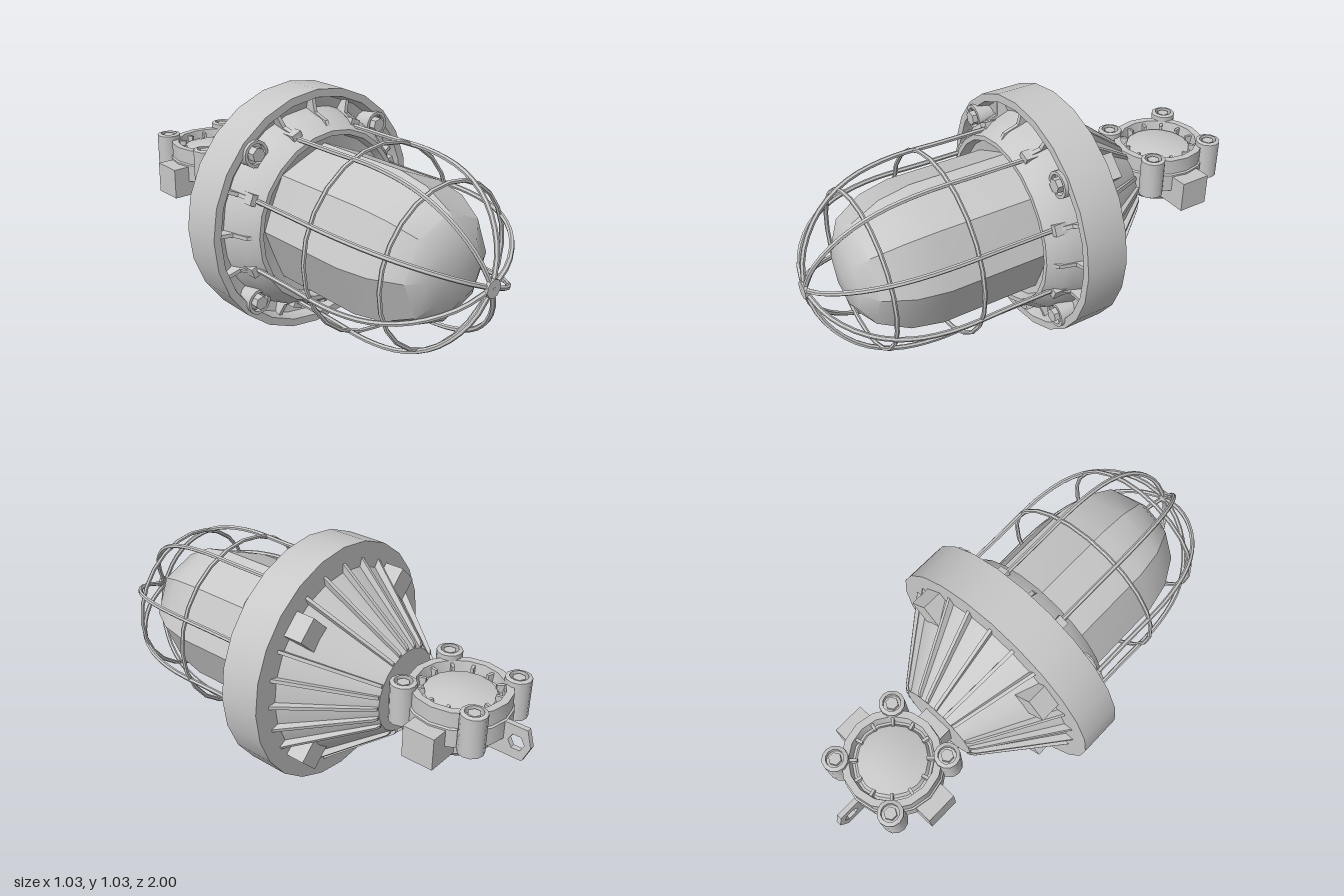
import * as THREE from 'three';
import { toCreasedNormals } from 'three/addons/utils/BufferGeometryUtils.js';

const CREASE = 0.55;

export function createModel() {
  const model = new THREE.Group();
  model.name = 'cagedLamp';
  const grey = new THREE.MeshStandardMaterial({ color: 0xc8c8c8 });
  grey.name = 'light grey';

  const add = (parent, name, geometry, x = 0, y = 0, z = 0) => {
    const mesh = new THREE.Mesh(toCreasedNormals(geometry, CREASE), grey);
    mesh.name = name;
    mesh.position.set(x, y, z);
    parent.add(mesh);
    return mesh;
  };
  const lathe = (points, sides) =>
    new THREE.LatheGeometry(points.map(([r, h]) => new THREE.Vector2(r, h)), sides);
  const latheZ = (points, sides) => lathe(points, sides).rotateX(Math.PI / 2);
  const tubeZ = (r, length, sides) =>
    new THREE.CylinderGeometry(r, r, length, sides).rotateX(Math.PI / 2);

  // Thin plate drawn in the (radius, z) plane
  const plate = (points, thickness, holes = []) => {
    const shape = new THREE.Shape(points.map(([r, z]) => new THREE.Vector2(r, z)));
    shape.holes.push(...holes);
    return new THREE.ExtrudeGeometry(shape, { depth: thickness, bevelEnabled: false })
      .translate(0, 0, -thickness / 2).rotateX(Math.PI / 2);
  };

  // Everything round the lamp axis
  const lamp = new THREE.Group();
  lamp.name = 'lampHead';
  lamp.position.y = 0.515;
  model.add(lamp);

  add(lamp, 'housing', latheZ([
    [0, -0.44], [0.175, -0.44], [0.41, -0.12], [0.515, -0.12], [0.515, 0.06], [0.482, 0.06],
    [0.47, 0.01], [0.43, 0.0], [0.415, 0.05], [0.405, 0.09], [0.365, 0.15], [0.345, 0.15],
    [0.335, 0.11], [0.28, 0.1],
  ], 24));

  add(lamp, 'glassDome', latheZ([
    [0.305, 0.08], [0.305, 0.53], [0.28, 0.66], [0.215, 0.78], [0.14, 0.825], [0, 0.84],
  ], 8));

  // Cooling fins on the rear cone, leaving room for the four bosses
  const fin = plate([[0.15, -0.43], [0.185, -0.44], [0.2, -0.43], [0.45, -0.115], [0.39, -0.115]], 0.014);
  for (let i = 0; i < 24; i++) {
    if (i % 6 === 3) continue;
    add(lamp, 'coolingFin', fin).rotation.z = (i * Math.PI) / 12;
  }

  // Short ribs in the front trough
  const rib = plate([[0.36, 0.0], [0.485, 0.0], [0.478, 0.035], [0.42, 0.05], [0.4, 0.115], [0.36, 0.14]], 0.016);
  for (let i = 0; i < 16; i++) {
    if (i % 4 === 2) continue;
    add(lamp, 'frontRib', rib).rotation.z = (i * Math.PI) / 8;
  }

  // Flange bolts in front and square bosses behind
  for (let i = 0; i < 4; i++) {
    const corner = new THREE.Group();
    corner.name = 'flangeBolt';
    corner.rotation.z = Math.PI / 4 + (i * Math.PI) / 2;
    lamp.add(corner);
    add(corner, 'boltSeat', latheZ([
      [0.055, -0.02], [0.055, 0.075], [0.042, 0.075], [0.042, 0.055], [0, 0.055],
    ], 14), 0.445);
    add(corner, 'boltHead', tubeZ(0.03, 0.06, 6), 0.445, 0, 0.06);
    add(corner, 'rearBoss', new THREE.BoxGeometry(0.105, 0.105, 0.1), 0.39, 0, -0.155);
  }

  // Wire cage: eight bent wires with clips
  const path = new THREE.CatmullRomCurve3([
    [0.38, 0.06], [0.38, 0.3], [0.38, 0.55], [0.35, 0.71], [0.295, 0.82],
    [0.22, 0.9], [0.12, 0.96], [0, 0.988],
  ].map(([r, z]) => new THREE.Vector3(r, 0, z)), false, 'centripetal');
  const wire = new THREE.TubeGeometry(path, 22, 0.01, 6);
  for (let i = 0; i < 8; i++) {
    const arm = new THREE.Group();
    arm.name = 'cageArm';
    arm.rotation.z = Math.PI / 8 + (i * Math.PI) / 4;
    lamp.add(arm);
    add(arm, 'cageWire', wire);
    add(arm, 'wireClip', new THREE.BoxGeometry(0.045, 0.045, 0.07), 0.385, 0, 0.085);
  }
  for (const [r, z] of [[0.383, 0.435], [0.322, 0.765]]) {
    add(lamp, 'cageRing', new THREE.TorusGeometry(r, 0.009, 6, 24), 0, 0, z);
  }
  add(lamp, 'cageHub', tubeZ(0.036, 0.016, 10), 0, 0, 0.988);

  // Junction box behind the lamp, standing on the y axis
  const box = new THREE.Group();
  box.name = 'junctionBox';
  box.position.z = -0.685;
  model.add(box);

  add(box, 'boxBody', lathe([
    [0, 0.41], [0.13, 0.41], [0.145, 0.43], [0.145, 0.5], [0.205, 0.5], [0.205, 0.575],
    [0.198, 0.58], [0.198, 0.645], [0.168, 0.645], [0.16, 0.6], [0.15, 0.6],
    [0.14, 0.615], [0.08, 0.632], [0, 0.638],
  ], 16));

  // Lid ribs between the wall and the shallow dome
  for (let i = 0; i < 12; i++) {
    const a = (i + 0.5) * Math.PI / 6;
    add(box, 'lidRib', new THREE.BoxGeometry(0.04, 0.035, 0.012),
      0.155 * Math.cos(a), 0.617, 0.155 * Math.sin(a)).rotation.y = -a;
  }

  // Corner screws with recessed hexagon heads
  for (const sx of [-1, 1]) {
    for (const sz of [-1, 1]) {
      add(box, 'screwPost', lathe([
        [0, 0.5], [0.052, 0.5], [0.052, 0.665], [0.036, 0.67], [0.036, 0.645], [0, 0.645],
      ], 12), sx * 0.153, 0, sz * 0.153);
      add(box, 'screwHead', new THREE.CylinderGeometry(0.026, 0.026, 0.03, 6), sx * 0.153, 0.65, sz * 0.153);
    }
    // Cable entries on both sides
    add(box, 'cableEntry', new THREE.BoxGeometry(0.165, 0.135, 0.135), sx * 0.1825, 0.5, 0);
  }
  add(box, 'lampNeck', new THREE.BoxGeometry(0.13, 0.135, 0.19), 0, 0.5, 0.17);

  // Hanging lug with a hexagonal hole
  const hole = new THREE.Path();
  for (let i = 0; i < 6; i++) {
    const a = (i * Math.PI) / 3;
    hole[i ? 'lineTo' : 'moveTo'](0.255 + 0.034 * Math.cos(a), 0.034 * Math.sin(a));
  }
  hole.closePath();
  const lug = plate([[0.12, -0.07], [0.285, -0.07], [0.315, 0], [0.295, 0.07], [0.12, 0.07]], 0.022, [hole]);
  // Turn the plate upright and point it backwards
  lug.rotateX(-Math.PI / 2).rotateY(Math.PI / 2);
  add(box, 'hangingLug', lug, 0, 0.505, 0);

  return model;
}
